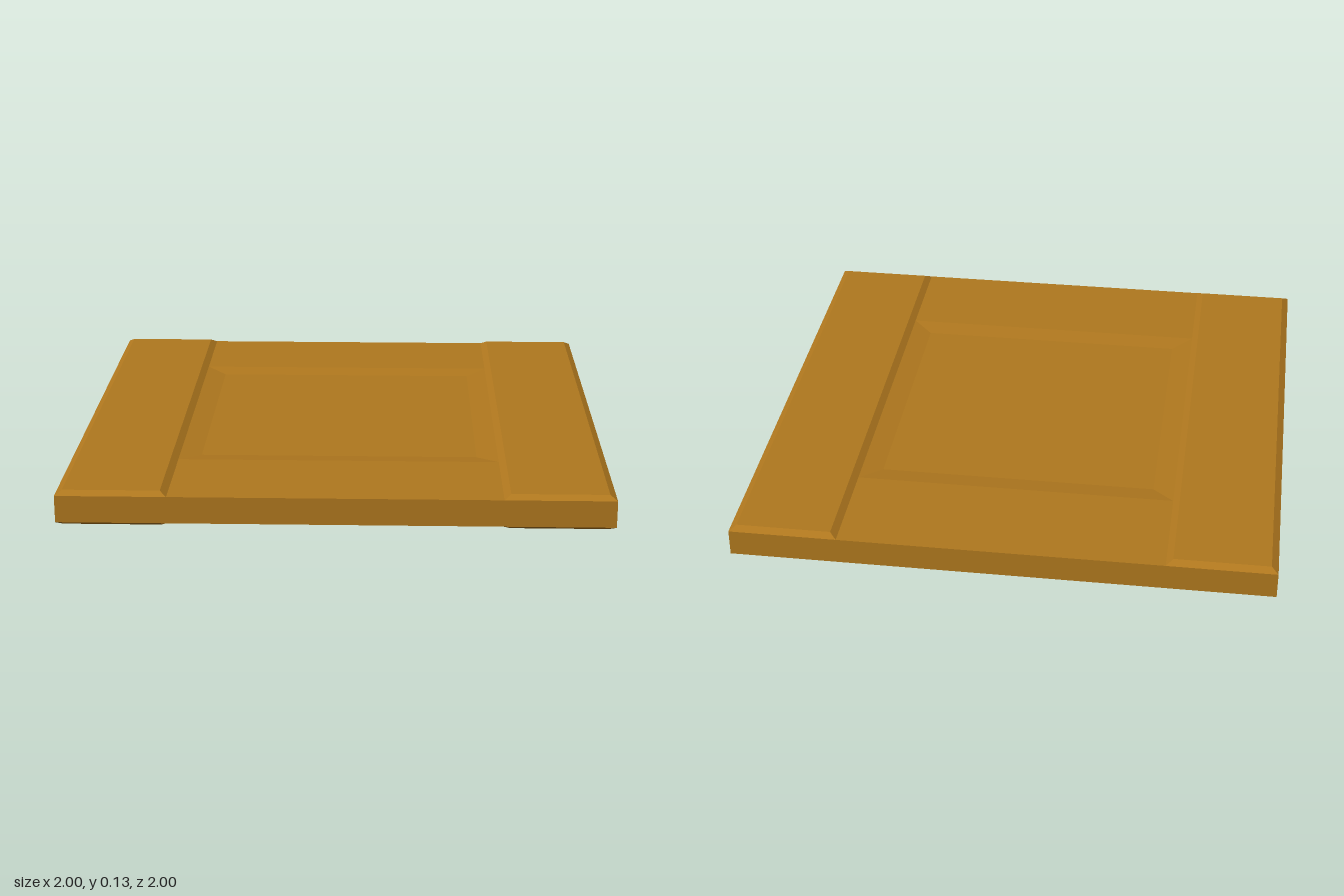
import * as THREE from 'three';

const material = new THREE.MeshStandardMaterial({ color: 0xb0781e, flatShading: true });

// Solid through stacked rectangles [halfX, halfZ, y], from bottom to top, closed at both ends.
function loftRectangles(sections) {
  const corners = sections.map(([hx, hz, y]) => [[-hx, y, hz], [hx, y, hz], [hx, y, -hz], [-hx, y, -hz]]);
  const positions = [];
  const quad = (a, b, c, d) => positions.push(...a, ...b, ...c, ...a, ...c, ...d);
  for (let i = 0; i + 1 < corners.length; i++) {
    for (let k = 0; k < 4; k++) {
      const n = (k + 1) % 4;
      quad(corners[i][k], corners[i][n], corners[i + 1][n], corners[i + 1][k]);
    }
  }
  const [b0, b1, b2, b3] = corners[0];
  quad(b3, b2, b1, b0);
  quad(...corners[corners.length - 1]);
  const geometry = new THREE.BufferGeometry();
  geometry.setAttribute('position', new THREE.Float32BufferAttribute(positions, 3));
  geometry.computeVertexNormals();
  return geometry;
}

export function createModel() {
  const model = new THREE.Group();
  model.name = 'framedPanel';

  const add = (name, geometry, x = 0, y = 0, z = 0) => {
    const mesh = new THREE.Mesh(geometry, material);
    mesh.name = name;
    mesh.position.set(x, y, z);
    model.add(mesh);
  };

  // Thick side boards with chamfered edges on both faces
  const board = loftRectangles([
    [0.175, 0.975, 0], [0.2, 1, 0.015], [0.2, 1, 0.115], [0.175, 0.975, 0.13],
  ]);
  add('leftBoard', board, 0.8);
  add('rightBoard', board, -0.8);

  // Slightly thinner cross rails between the boards
  const rail = new THREE.BoxGeometry(1.2, 0.1, 0.4);
  add('frontRail', rail, 0, 0.065, 0.8);
  add('backRail', rail, 0, 0.065, -0.8);

  // Centre panel, sunk on both faces with shallow sloping borders
  add('sunkenPanel', loftRectangles([
    [0.52, 0.52, 0.025], [0.6, 0.6, 0.015], [0.6, 0.6, 0.115], [0.52, 0.52, 0.105],
  ]));

  return model;
}
